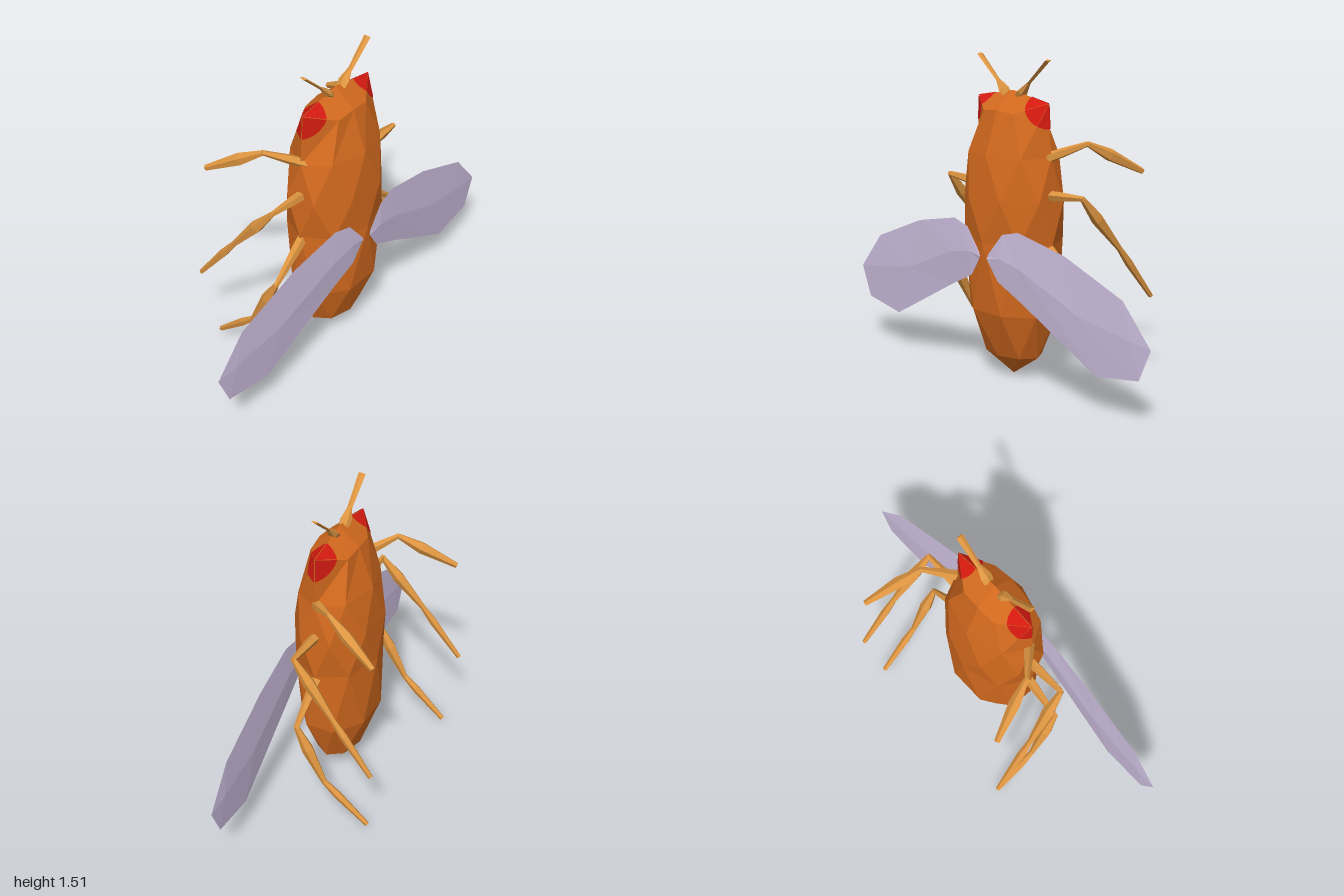
import * as THREE from 'three';

const V = (x, y, z) => new THREE.Vector3(x, y, z);
const mat = (name, color, side = THREE.FrontSide) => {
  const m = new THREE.MeshStandardMaterial({ color, flatShading: true, side });
  m.name = name;
  return m;
};

// Geometry from a flat list of corners, three per face
function facesGeometry(points) {
  const g = new THREE.BufferGeometry().setFromPoints(points);
  g.computeVertexNormals();
  return g;
}

// Skin a series of equal-sized rings; zig picks the diagonal of each band
function loft(rings, zig = () => false) {
  const out = [];
  const tri = (a, b, c) => {
    if (a.distanceTo(b) > 1e-6 && b.distanceTo(c) > 1e-6 && c.distanceTo(a) > 1e-6) out.push(a, b, c);
  };
  for (let i = 0; i < rings.length - 1; i++) {
    const lo = rings[i], hi = rings[i + 1], n = lo.length;
    for (let k = 0; k < n; k++) {
      const j = (k + 1) % n;
      const a = lo[k], b = lo[j], c = hi[j], d = hi[k];
      if (zig(i)) { tri(a, b, d); tri(b, c, d); } else { tri(a, b, c); tri(a, c, d); }
    }
  }
  return out;
}

// Faceted spindle between two points; profile rows are [position, radiusU, radiusV]
function spindle(p, q, profile, sides = 5) {
  const dir = q.clone().sub(p).normalize();
  const ref = Math.abs(dir.x) > 0.6 ? V(0, 0, 1) : V(1, 0, 0);
  const u = ref.cross(dir).normalize();
  const v = dir.clone().cross(u);
  const rows = [[profile[0][0], 0, 0], ...profile, [profile.at(-1)[0], 0, 0]];
  return loft(rows.map(([t, ru, rv = ru]) => Array.from({ length: sides }, (_, k) => {
    const a = (k / sides) * Math.PI * 2;
    return p.clone().lerp(q, t).addScaledVector(u, ru * Math.cos(a)).addScaledVector(v, rv * Math.sin(a));
  })));
}

export function createModel() {
  const group = new THREE.Group();
  const shell = mat('shell brown', 0xd2691e);
  const limb = mat('limb tan', 0xdc9440);
  const wing = mat('wing lavender', 0xcbbcdc, THREE.DoubleSide);
  const eye = mat('eye red', 0xd41a10, THREE.DoubleSide);
  const add = (name, points, material) => {
    const m = new THREE.Mesh(facesGeometry(points), material);
    m.name = name;
    group.add(m);
  };

  // Body: eight-sided rings, some turned half a step
  const N = 8, CZ = 0.11;
  const ring = (y, w, d, turn = 0) => Array.from({ length: N }, (_, k) => {
    const a = ((k + turn) / N) * Math.PI * 2;
    return V(w * Math.cos(a), y, CZ - d * Math.sin(a));
  });
  // Head rim has two high corners at the sides, dipping toward belly and back
  const rim = [
    [0.237, 1.317, 0], [0.1, 1.265, -0.095], [0, 1.275, -0.102], [-0.1, 1.265, -0.095],
    [-0.237, 1.317, 0], [-0.1, 1.265, 0.095], [0, 1.275, 0.102], [0.1, 1.265, 0.095],
  ].map(([x, y, z]) => V(x, y, CZ + z));
  const body = loft([
    ring(0.005, 0, 0),
    ring(0.11, 0.163, 0.103),
    ring(0.33, 0.248, 0.185, 0.5),
    ring(0.67, 0.264, 0.197),
    ring(0.87, 0.278, 0.201, 0.5),
    ring(1.07, 0.252, 0.172),
    rim,
    ring(1.36, 0, 0),
  ], (i) => i === 1 || i === 3);
  add('body', body, shell);

  // Eyes: round patches laid over the faces that meet at each head corner
  const eyePatch = (corner, radius) => {
    const out = [];
    for (let i = 0; i < body.length; i += 3) {
      const t = body.slice(i, i + 3);
      const k = t.findIndex((p) => p.distanceTo(corner) < 1e-6);
      if (k < 0) continue;
      const b = t[(k + 1) % 3], c = t[(k + 2) % 3];
      const lift = new THREE.Triangle(...t).getNormal(V(0, 0, 0)).multiplyScalar(0.003);
      const at = (s) => b.clone().lerp(c, s).sub(corner).setLength(radius).add(corner).add(lift);
      for (let s = 0; s < 6; s++) out.push(corner.clone().add(lift), at(s / 6), at((s + 1) / 6));
    }
    return out;
  };

  // Wing stations: upper edge, lower edge, half thickness
  const stations = [
    [0.02, 0.605, 0.03, 0.59, 0.004],
    [0.12, 0.725, 0.09, 0.5, 0.01],
    [0.22, 0.75, 0.25, 0.42, 0.012],
    [0.5, 0.69, 0.69, 0.185, 0.012],
    [0.84, 0.555, 0.935, 0.22, 0.007],
    [1, 0.37, 1, 0.37, 0],
  ];
  const wingZ = (x) => 0.3 - 0.075 * x + 0.022 * x * x;

  // Leg joints from the body outward
  const legs = {
    FrontLeg: [[0.22, 1.065, 0.12], [0.355, 1.135, -0.02], [0.45, 0.99, -0.285]],
    MiddleLeg: [[0.22, 0.895, 0.11], [0.455, 0.912, 0.11], [0.485, 0.66, -0.1], [0.5, 0.405, -0.3]],
    HindLeg: [[0.22, 0.67, 0.11], [0.44, 0.5, 0.115], [0.445, 0.22, -0.03], [0.435, 0.03, -0.25]],
  };
  const thigh = [[0, 0.013], [0.4, 0.03], [1, 0.014]];
  const shank = [[-0.04, 0.013], [0.3, 0.02], [1, 0.012]];
  const root = [[0, 0.026], [0.4, 0.023], [1.03, 0.012]];

  for (const [s, side] of [[1, 'left'], [-1, 'right']]) {
    const P = ([x, y, z]) => V(s * x, y, z);

    add(side + 'Eye', eyePatch(rim[s > 0 ? 0 : 4], 0.115), eye);

    const sections = stations.map(([ux, uy, lx, ly, t]) => {
      const mx = (ux + lx) / 2, my = (uy + ly) / 2, tilt = -0.01 * s;
      const loop = [
        [ux, uy + tilt * ux, wingZ(ux)],
        [mx, my + tilt * mx, wingZ(mx) + t],
        [lx, ly + tilt * lx, wingZ(lx)],
        [mx, my + tilt * mx, wingZ(mx) - t],
      ].map(P);
      return s > 0 ? loop : loop.reverse();
    });
    add(side + 'Wing', loft(sections), wing);

    for (const [name, joints] of Object.entries(legs)) {
      const pts = joints.map(P);
      const faces = [];
      for (let i = 0; i < pts.length - 1; i++) {
        faces.push(...spindle(pts[i], pts[i + 1], [root, thigh, shank][i]));
      }
      add(side + name, faces, limb);
    }

    // Antenna: swollen base and a thin flat shaft
    add(side + 'Antenna', [
      ...spindle(P([0.04, 1.335, 0.11]), P([0.105, 1.4, 0.11]), [[0, 0.016, 0.026], [0.35, 0.02, 0.03], [1, 0.006, 0.012]]),
      ...spindle(P([0.09, 1.385, 0.11]), P([0.23, 1.512, 0.11]), [[0, 0.006, 0.012], [1, 0.006, 0.018]], 4),
    ], limb);
  }
  return group;
}
